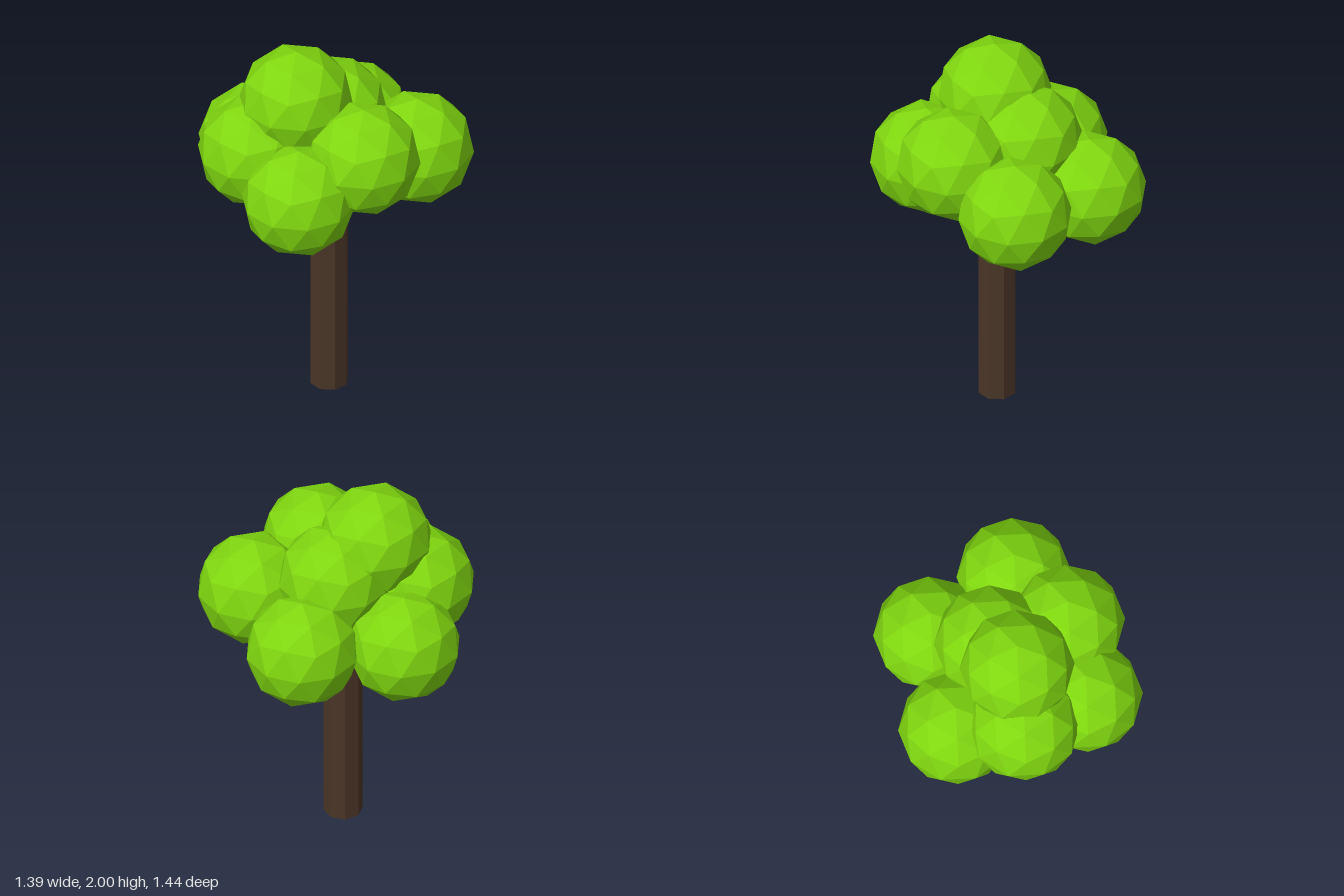
import * as THREE from 'three';

const paint = (color) => new THREE.MeshStandardMaterial({ color, flatShading: true });

export function createModel() {
  const tree = new THREE.Group();
  tree.name = 'tree';
  const leaf = paint(0x7fd60f), bark = paint(0x4a3526), twig = paint(0x2a2628);

  const add = (name, geometry, material, position) => {
    const mesh = new THREE.Mesh(geometry, material);
    mesh.name = name;
    mesh.position.copy(position);
    tree.add(mesh);
    return mesh;
  };

  // Straight eight-sided trunk, slightly off centre
  const trunkHeight = 1.185;
  const root = new THREE.Vector3(0.045, 0, 0.04);
  add('trunk', new THREE.CylinderGeometry(0.1, 0.1, trunkHeight, 8), bark,
    root.clone().setY(trunkHeight / 2));

  // Faceted foliage balls, turned so that a vertex points straight up
  const ball = new THREE.IcosahedronGeometry(0.293, 1);
  ball.rotateZ(-Math.atan(2 / (1 + Math.sqrt(5))));
  const foliage = {
    foliageTop: [-0.1, 1.707, 0.12],
    foliageMiddle: [-0.01, 1.54, -0.095],
    foliageBackLeft: [0.41, 1.37, -0.23],
    foliageBack: [-0.065, 1.3, -0.427],
    foliageRight: [-0.42, 1.28, -0.045],
    foliageFrontRight: [-0.264, 1.44, 0.265],
    foliageFrontLeft: [0.306, 1.5, 0.163],
    foliageFront: [0.07, 1.33, 0.424],
  };
  for (const [name, p] of Object.entries(foliage)) {
    add(name, ball, leaf, new THREE.Vector3(...p));
  }

  // Thin branches from the trunk into the lower balls
  const branches = {
    branchBackLeft: 'foliageBackLeft',
    branchBack: 'foliageBack',
    branchRight: 'foliageRight',
    branchFront: 'foliageFront',
  };
  const up = new THREE.Vector3(0, 1, 0);
  for (const [name, target] of Object.entries(branches)) {
    const start = root.clone().setY(1.04);
    const direction = new THREE.Vector3(...foliage[target]).sub(start).normalize();
    const length = 0.36;
    const branch = add(name, new THREE.CylinderGeometry(0.027, 0.027, length, 8), twig,
      start.addScaledVector(direction, length / 2));
    branch.quaternion.setFromUnitVectors(up, direction);
  }
  return tree;
}
